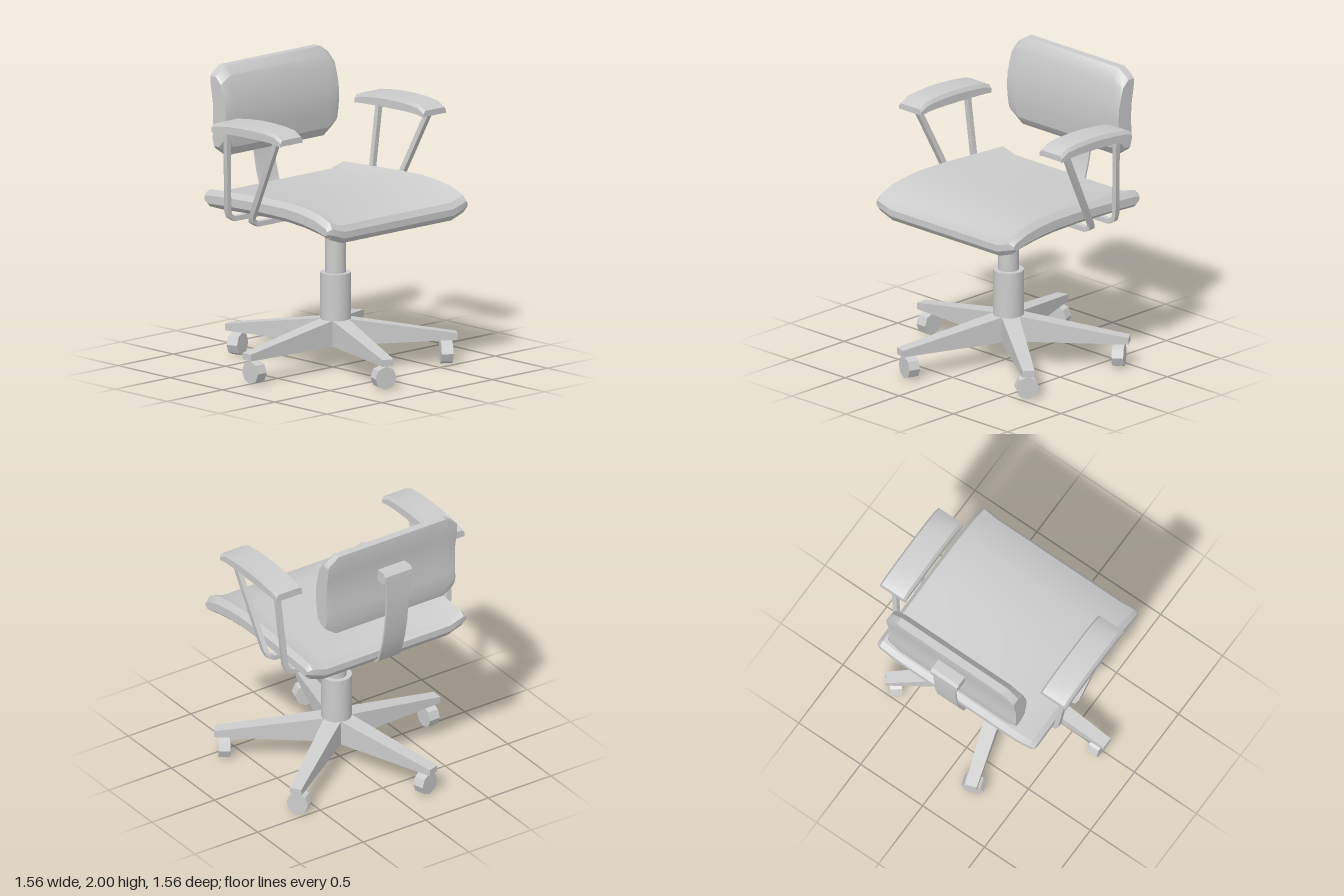
import * as THREE from 'three';
import { toCreasedNormals } from 'three/addons/utils/BufferGeometryUtils.js';

const CX = 0.025; // symmetry plane of the chair
const material = new THREE.MeshStandardMaterial({ color: 0xcccccc });

function add(parent, name, geometry, x = 0, y = 0, z = 0) {
  const mesh = new THREE.Mesh(toCreasedNormals(geometry, 0.5), material);
  mesh.name = name;
  mesh.position.set(x, y, z);
  parent.add(mesh);
  return mesh;
}

// Skin a row of closed sections (even point count) and cap both ends.
function loft(sections) {
  const n = sections[0].length;
  const tris = [];
  const quad = (a, b, c, d) => tris.push(a, b, c, a, c, d);
  for (let s = 0; s + 1 < sections.length; s++) {
    const A = sections[s], B = sections[s + 1];
    for (let i = 0; i < n; i++) {
      const j = (i + 1) % n;
      quad(A[i], A[j], B[j], B[i]);
    }
  }
  const first = sections[0], last = sections[sections.length - 1];
  for (let i = 0; i < n / 2 - 1; i++) {
    const k = n - 1 - i;
    quad(first[i], first[k], first[k - 1], first[i + 1]);
    quad(last[i], last[i + 1], last[k - 1], last[k]);
  }
  // turn the faces outwards if the sections ran the other way
  let volume = 0;
  const cross = new THREE.Vector3();
  for (let t = 0; t < tris.length; t += 3) {
    volume += tris[t].dot(cross.crossVectors(tris[t + 1], tris[t + 2]));
  }
  if (volume < 0) tris.reverse();
  return new THREE.BufferGeometry().setFromPoints(tris);
}

// Cushion: rows are [u, upper, lower]; stations are [x, lift, thickness, length].
function cushion(rows, stations, place) {
  const us = rows.map((r) => r[0]);
  const mid = (Math.max(...us) + Math.min(...us)) / 2;
  const all = [...stations.map(([x, ...r]) => [-x, ...r]), ...[...stations].reverse()];
  return loft(all.map(([x, lift, thick, len]) => {
    const point = (u, v, w) => {
      const c = (v + w) / 2;
      return place(x, mid + (u - mid) * len, c + (v - c) * thick + lift);
    };
    return [
      ...rows.map(([u, t, b]) => point(u, t, b)),
      ...[...rows].reverse().map(([u, t, b]) => point(u, b, t)),
    ];
  }));
}

// Flat bar bent along 2D points [a, b, shift]; width runs along the third axis.
function bar(path, thick, width, place) {
  return loft(path.map(([a, b, shift = 0], i) => {
    const p = path[Math.max(i - 1, 0)], q = path[Math.min(i + 1, path.length - 1)];
    const dir = new THREE.Vector2(q[0] - p[0], q[1] - p[1]).normalize();
    const na = -dir.y * thick / 2, nb = dir.x * thick / 2, w = width / 2;
    return [
      place(a + na, b + nb, shift + w), place(a + na, b + nb, shift - w),
      place(a - na, b - nb, shift - w), place(a - na, b - nb, shift + w),
    ];
  }));
}

const xFirst = (x, z, y) => new THREE.Vector3(x, y, z);
const yUp = (x, y, z) => new THREE.Vector3(x, y, z);

export function createModel() {
  const chair = new THREE.Group();
  chair.name = 'officeChair';
  const body = new THREE.Group();
  body.name = 'chairBody';
  body.position.x = CX;
  chair.add(body);

  // Five-armed base with a caster under each tip
  const base = new THREE.Group();
  base.name = 'starBase';
  body.add(base);
  add(base, 'baseHub', new THREE.CylinderGeometry(0.1, 0.1, 0.175, 5, 1, false, Math.PI / 2), 0, 0.2425);
  const rx = 0.1 * Math.cos(Math.PI / 5), rz = 0.1 * Math.sin(Math.PI / 5);
  for (let i = 0; i < 5; i++) {
    const leg = new THREE.Group();
    leg.name = 'baseLeg';
    leg.rotation.y = Math.PI + i * Math.PI * 2 / 5;
    base.add(leg);
    const end = (x, w, top, bottom) => [
      yUp(x, top, w), yUp(x, top, -w), yUp(x, bottom, -w), yUp(x, bottom, w),
    ];
    add(leg, 'legBeam', loft([end(rx, rz, 0.33, 0.155), end(0.805, 0.04, 0.21, 0.165)]));
    const wheel = new THREE.CylinderGeometry(0.077, 0.077, 0.078, 8);
    wheel.rotateZ(Math.PI / 2);
    add(leg, 'caster', wheel, 0.735, 0.078);
  }

  // Gas lift column
  for (const [name, r, y0, y1] of [
    ['columnSleeve', 0.102, 0.3, 0.64],
    ['columnRod', 0.068, 0.6, 1.0],
    ['columnCap', 0.102, 0.98, 1.08],
  ]) add(body, name, new THREE.CylinderGeometry(r, r, y1 - y0, 24), 0, (y0 + y1) / 2);

  // Seat with raised sides
  add(body, 'seat', cushion([
    [0.61, 1.085, 1.04], [0.585, 1.125, 1.005], [0.48, 1.167, 1.028], [0.35, 1.188, 1.048],
    [0.2, 1.2, 1.06], [-0.03, 1.195, 1.065], [-0.37, 1.178, 1.055],
    [-0.565, 1.167, 1.045], [-0.6, 1.135, 1.09],
  ], [[0.635, 0.03, 0.45, 0.975], [0.605, 0.035, 0.95, 1], [0.495, 0, 1, 1]], xFirst));

  // Backrest with clipped corners
  add(body, 'backrest', cushion([
    [2.0, -0.6, -0.655], [1.94, -0.55, -0.655], [1.86, -0.53, -0.645], [1.77, -0.512, -0.633],
    [1.66, -0.505, -0.63], [1.56, -0.512, -0.632], [1.46, -0.525, -0.635], [1.4, -0.57, -0.62],
  ], [[0.515, 0, 0.95, 0.78], [0.5, 0, 1, 0.84], [0.43, 0, 1, 1]], yUp));

  // Back support strap and the block that holds the backrest
  add(body, 'backStrap', bar([
    [-0.71, 1.75], [-0.708, 1.6], [-0.7, 1.475], [-0.685, 1.35], [-0.663, 1.24],
    [-0.615, 1.085], [-0.59, 1.06], [-0.525, 1.032], [-0.3, 1.03], [0, 1.03],
  ], 0.014, 0.175, (z, y, x) => yUp(x, y, z)));
  add(body, 'backBracket', loft([-0.107, 0.107].map((x) => [
    yUp(x, 1.785, -0.62), yUp(x, 1.785, -0.705), yUp(x, 1.765, -0.725),
    yUp(x, 1.72, -0.725), yUp(x, 1.7, -0.7), yUp(x, 1.7, -0.62),
  ])));

  // Armrest bars: one front and one rear bar pass under the seat
  for (const [name, zTop, zLow, zBottom, width] of [
    ['frontArmBar', 0.175, -0.105, -0.128, 0.042],
    ['rearArmBar', -0.308, -0.345, -0.348, 0.034],
  ]) {
    const half = [[0.692, 1.66, zTop], [0.65, 1.1, zLow], [0.635, 1.06, zBottom], [0.595, 1.035, zBottom]];
    const path = [...half, ...[...half].reverse().map(([x, y, z]) => [-x, y, z])];
    add(body, name, bar(path, 0.034, width, yUp));
  }

  // Armrest pads
  for (const side of [-1, 1]) {
    add(body, side > 0 ? 'leftArmPad' : 'rightArmPad', cushion([
      [0.265, 1.68, 1.64], [0.2, 1.715, 1.647], [0.1, 1.726, 1.65], [0, 1.73, 1.647],
      [-0.1, 1.729, 1.645], [-0.22, 1.72, 1.642], [-0.34, 1.705, 1.638], [-0.395, 1.685, 1.635],
    ], [[0.101, -0.012, 0.65, 1], [0.086, 0, 1, 1]], xFirst), side * 0.649);
  }
  return chair;
}
